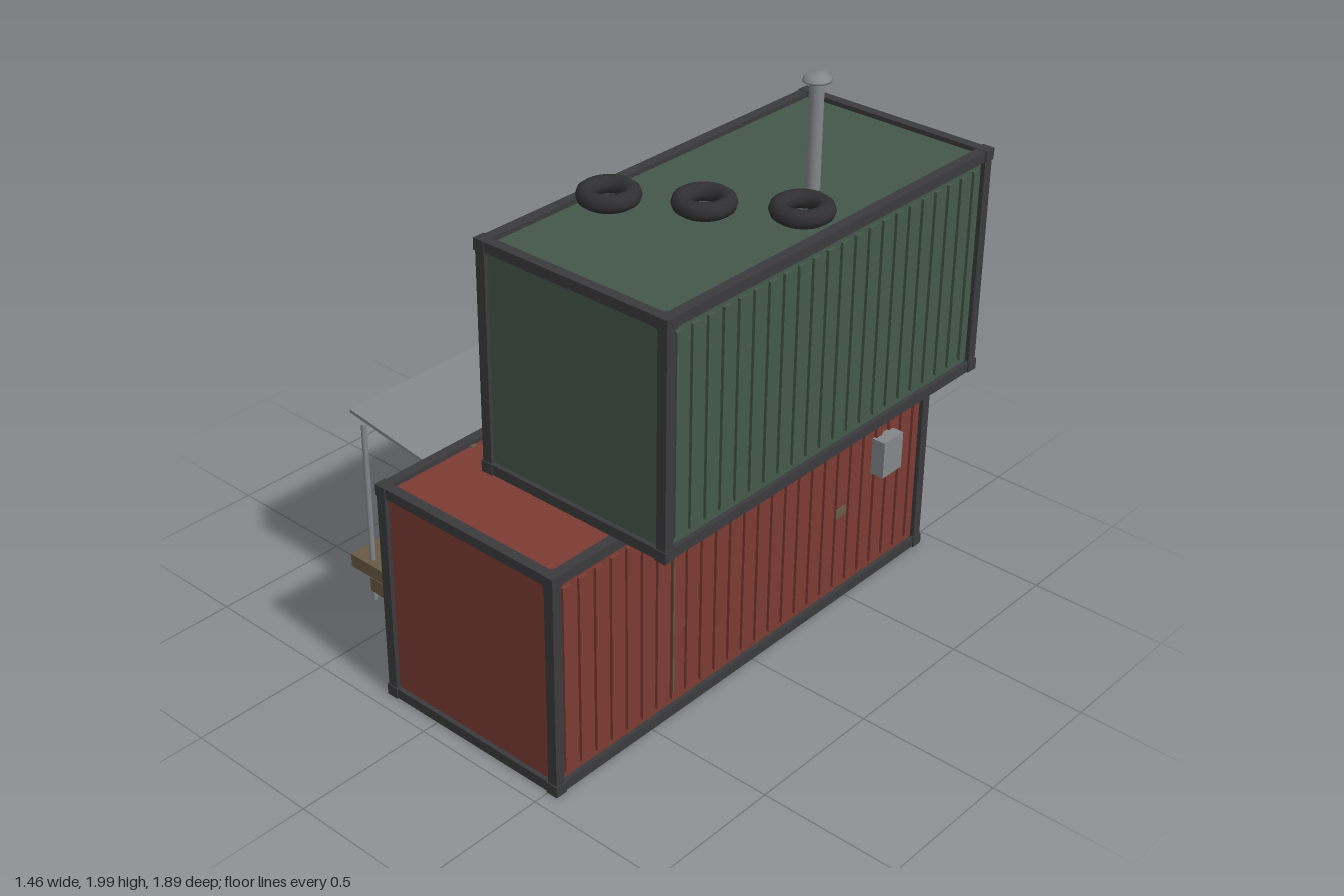
import * as THREE from 'three';

const mat = (name, color) => {
  const m = new THREE.MeshStandardMaterial({ color });
  m.name = name;
  return m;
};

export function createModel() {
  const red = mat('red paint', 0x7c3c34);
  const green = mat('green paint', 0x44584a);
  const frame = mat('dark steel', 0x3b3b3d);
  const wood = mat('wood', 0x695a42);
  const metal = mat('grey metal', 0x83878a);
  const rubber = mat('rubber', 0x303032);
  const glass = mat('dark glass', 0x2a3236);

  const model = new THREE.Group();
  const add = (parent, name, geo, m, x, y, z) => {
    const mesh = new THREE.Mesh(geo, m);
    mesh.name = name;
    mesh.position.set(x, y, z);
    parent.add(mesh);
    return mesh;
  };
  // box given by its minimum and maximum on each axis
  const box = (parent, name, m, x0, x1, y0, y1, z0, z1) =>
    add(parent, name, new THREE.BoxGeometry(x1 - x0, y1 - y0, z1 - z0), m,
      (x0 + x1) / 2, (y0 + y1) / 2, (z0 + z1) / 2);

  // steel container: body, edge frame, corner castings, ribbed long walls
  function container(name, paint, cx, y0, cz, length, ribs) {
    const g = new THREE.Group();
    g.name = name;
    g.position.set(cx, y0, cz);
    const w = 0.76, h = 0.81, t = 0.036, inset = 0.016;
    const hx = w / 2, hz = length / 2;
    box(g, 'body', paint, -hx + inset, hx - inset, inset, h - inset, -hz + inset, hz - inset);
    for (const sx of [-1, 1]) {
      const ex = sx * (hx - t / 2);
      for (const sz of [-1, 1]) {
        const ez = sz * (hz - t / 2);
        add(g, 'cornerPost', new THREE.BoxGeometry(t, h, t), frame, ex, h / 2, ez);
        for (const y of [t / 2, h - t / 2])
          add(g, 'cornerCasting', new THREE.BoxGeometry(t + 0.008, t + 0.004, t + 0.008), frame, ex, y, ez);
      }
      for (const y of [t / 2, h - t / 2])
        add(g, 'sideRail', new THREE.BoxGeometry(t, t, length - t), frame, ex, y, 0);
      const span = length - 0.1;
      for (let i = 0; i < ribs; i++) {
        const z = -span / 2 + 0.017 + (i * (span - 0.034)) / (ribs - 1);
        add(g, 'wallRib', new THREE.BoxGeometry(0.02, 0.69, 0.033), paint, sx * (hx - inset), h / 2, z);
      }
    }
    for (const sz of [-1, 1])
      for (const y of [t / 2, h - t / 2])
        add(g, 'endRail', new THREE.BoxGeometry(w - t, t, t), frame, 0, y, sz * (hz - t / 2));
    model.add(g);
  }
  container('lowerContainer', red, 0.155, 0.01, 0, 1.88, 26);
  container('upperContainer', green, 0.342, 0.82, -0.127, 1.57, 22);

  // tyres on the roof
  for (const [x, z] of [[0.09, 0.215], [0.34, 0.06], [0.59, -0.1]]) {
    const tyre = add(model, 'tyre', new THREE.TorusGeometry(0.073, 0.03, 10, 28), rubber, x, 1.66, z);
    tyre.rotation.x = Math.PI / 2;
  }

  // chimney pipe with a domed cap
  add(model, 'chimneyPipe', new THREE.CylinderGeometry(0.024, 0.024, 0.39, 16), metal, 0.463, 1.79, -0.312);
  const cap = [[0, 0], [0.046, 0], [0.045, 0.006], [0.032, 0.022], [0, 0.026]];
  add(model, 'chimneyCap', new THREE.LatheGeometry(cap.map(([r, y]) => new THREE.Vector2(r, y)), 16),
    metal, 0.463, 1.974, -0.312);

  // wooden steps
  [[-0.55, 0.01, 0.065], [-0.64, 0.067, 0.122], [-0.735, 0.125, 0.175]].forEach(([x, y0, y1]) =>
    box(model, 'step', wood, x, -0.33, y0, y1, 0.34, 0.65));

  // awning on two posts
  const awning = add(model, 'awning', new THREE.BoxGeometry(0.434, 0.013, 0.68), metal, -0.47, 0.742, 0.31);
  awning.rotation.z = -0.138;
  for (const z of [0, 0.62])
    add(model, 'awningPost', new THREE.CylinderGeometry(0.01, 0.01, 0.71, 10), metal, -0.655, 0.365, z);

  // door with side trims, handle and the plate above it
  box(model, 'door', green, -0.243, -0.22, 0.045, 0.665, 0.355, 0.635);
  for (const z of [0.34, 0.635])
    box(model, 'doorTrim', metal, -0.241, -0.215, 0.045, 0.68, z, z + 0.015);
  box(model, 'doorTrimTop', metal, -0.241, -0.215, 0.665, 0.68, 0.355, 0.635);
  box(model, 'doorHandle', metal, -0.255, -0.24, 0.34, 0.38, 0.39, 0.405);
  box(model, 'platePanel', metal, -0.242, -0.215, 0.69, 0.79, 0.34, 0.66);

  // barred window
  box(model, 'windowGlass', glass, -0.237, -0.215, 0.36, 0.58, -0.38, 0);
  for (const y of [0.34, 0.575])
    box(model, 'windowFrameRail', metal, -0.246, -0.215, y, y + 0.022, -0.4, 0.02);
  for (const z of [-0.4, 0])
    box(model, 'windowFrameSide', metal, -0.246, -0.215, 0.362, 0.575, z, z + 0.02);
  for (let i = 0; i < 4; i++)
    add(model, 'windowBar', new THREE.CylinderGeometry(0.007, 0.007, 0.27, 8), metal,
      -0.247, 0.468, -0.31 + i * 0.08);

  // utility box on the far wall
  box(model, 'utilityBox', metal, 0.52, 0.572, 0.44, 0.58, -0.74, -0.635);

  // rust patches as thin plates
  box(model, 'rustPatch', wood, 0.53, 0.534, 0.69, 0.73, 0.405, 0.428);
  box(model, 'rustStreak', wood, 0.53, 0.534, 0.1, 0.69, 0.396, 0.402);
  box(model, 'rustPatch', wood, 0.53, 0.534, 0.355, 0.39, -0.485, -0.43);
  box(model, 'roofRustPatch', wood, -0.195, -0.175, 0.803, 0.808, 0.555, 0.575);

  return model;
}
